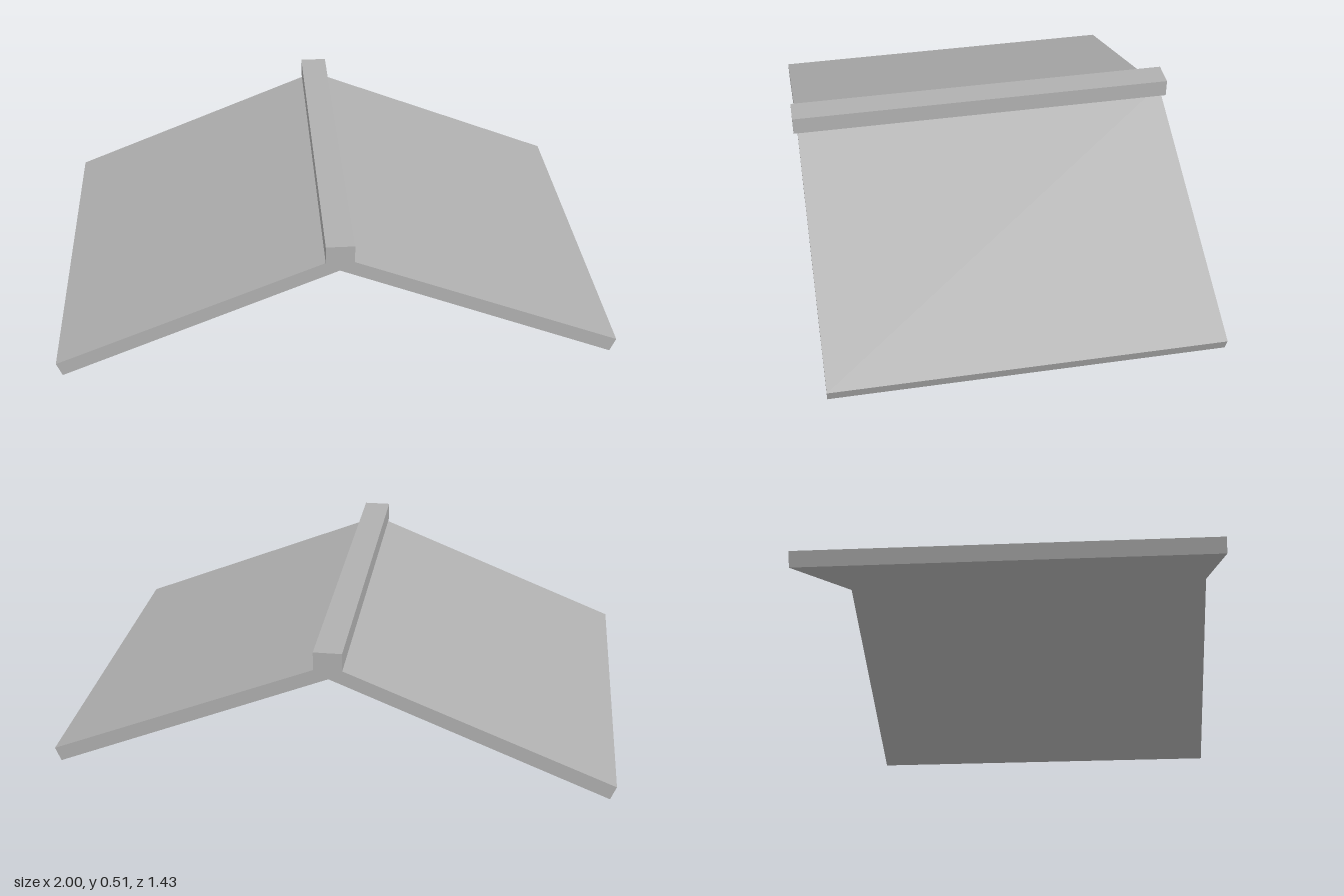
import * as THREE from 'three';

// Prism with the given front outline, centred on z = 0
function prism(points, depth) {
  const shape = new THREE.Shape(points.map(([x, y]) => new THREE.Vector2(x, y)));
  const geometry = new THREE.ExtrudeGeometry(shape, { depth, bevelEnabled: false });
  return geometry.translate(0, 0, -depth / 2);
}

export function createModel() {
  const model = new THREE.Group();
  model.name = 'gableRoof';
  const grey = new THREE.MeshStandardMaterial({ color: 0xb0b0b0 });
  grey.name = 'roof grey';

  // Two sloping slabs mitred at the ridge
  for (const side of [1, -1]) {
    const outline = [[0, 0.4], [0.98, 0], [1, 0.05], [0, 0.453]].map(([x, y]) => [x * side, y]);
    const slab = new THREE.Mesh(prism(outline, 1.405), grey);
    slab.name = side > 0 ? 'leftRoofSlab' : 'rightRoofSlab';
    model.add(slab);
  }

  // Ridge beam, slightly longer than the slabs
  const ridge = new THREE.Mesh(new THREE.BoxGeometry(0.1, 0.066, 1.435), grey);
  ridge.name = 'ridgeBeam';
  ridge.position.y = 0.474;
  model.add(ridge);

  return model;
}
